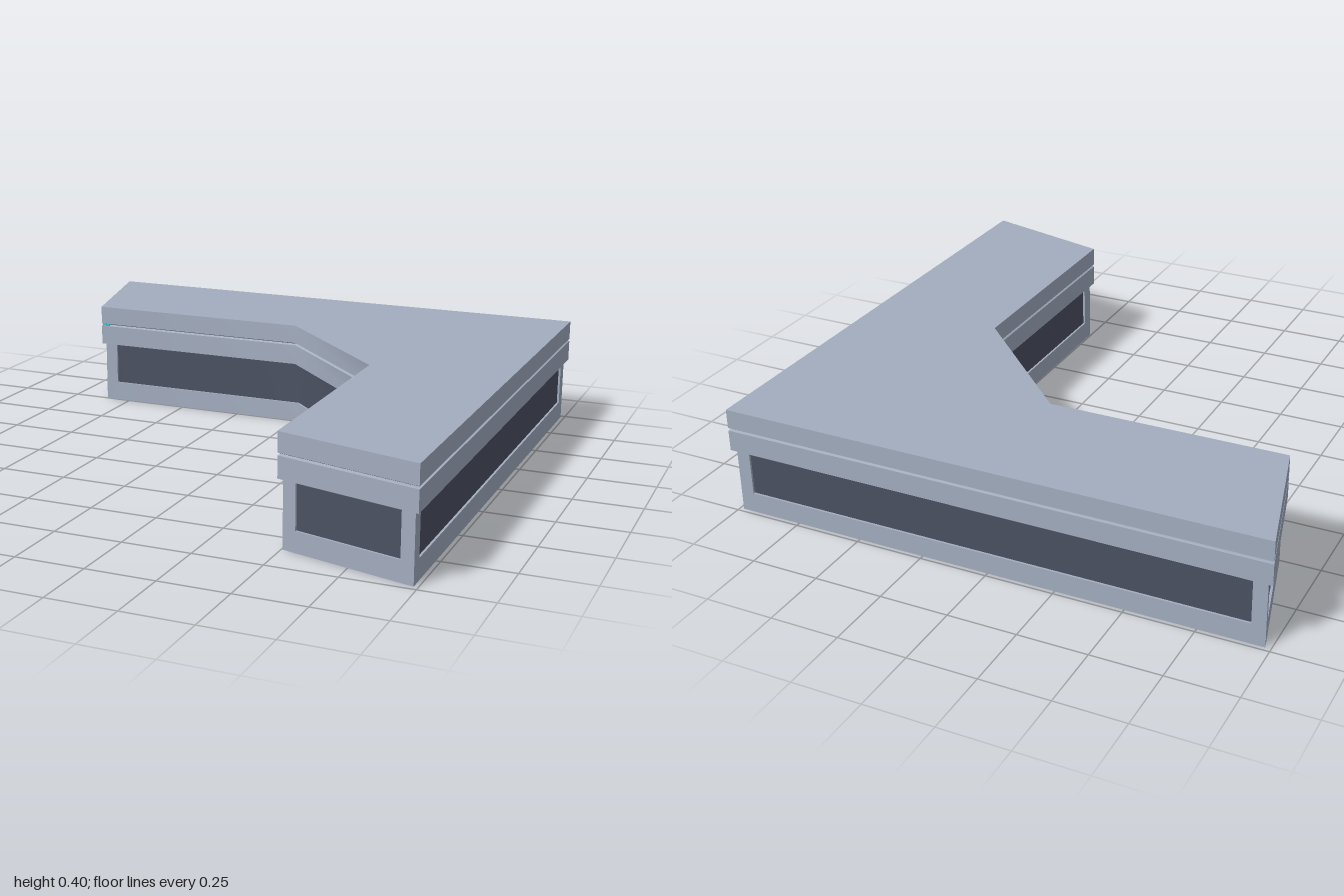
import * as THREE from 'three';
import { toCreasedNormals } from 'three/addons/utils/BufferGeometryUtils.js';

// Roof outline as [x, z], clockwise seen from above
const OUTLINE = [[-1, -1], [1, -1], [1, 1], [0.49, 0.865], [0.485, -0.02], [0.01, -0.488], [-0.865, -0.485]];
const N = OUTLINE.length;
const SILL = 0.075, EAVE = 0.242, TOP = 0.4;
const WALL_OUT = 0.015, WALL_IN = 0.03, POST = 0.05;

// Unit direction of the edge that starts at corner i
function direction(i) {
  const [ax, az] = OUTLINE[(i + N) % N], [bx, bz] = OUTLINE[(i + 1 + N) % N];
  const l = Math.hypot(bx - ax, bz - az);
  return [(bx - ax) / l, (bz - az) / l];
}

// Corner i moved inwards by d, mitred
function corner(i, d) {
  const p = direction(i - 1), q = direction(i);
  const k = d / (1 + p[0] * q[0] + p[1] * q[1]);
  const [x, z] = OUTLINE[i % N];
  return [x - (p[1] + q[1]) * k, z + (p[0] + q[0]) * k];
}

// Sweep a profile of [inset, y] round the outline
function sweep(profile) {
  const pos = [];
  const at = (i, [inset, y]) => {
    const [x, z] = corner(i % N, inset);
    return [x, y, z];
  };
  for (let i = 0; i < N; i++) {
    for (let k = 0; k < profile.length - 1; k++) {
      const a = at(i, profile[k]), b = at(i + 1, profile[k]);
      const c = at(i + 1, profile[k + 1]), d = at(i, profile[k + 1]);
      pos.push(...a, ...d, ...c, ...a, ...c, ...b);
    }
  }
  const g = new THREE.BufferGeometry();
  g.setAttribute('position', new THREE.Float32BufferAttribute(pos, 3));
  return toCreasedNormals(g, 0.9);
}

const planShape = (pts) => new THREE.Shape(pts.map(([x, z]) => new THREE.Vector2(x, -z)));

// Folded corner post that follows both walls meeting at corner i
function postGeometry(i) {
  const p = direction(i - 1), q = direction(i), t = WALL_IN - WALL_OUT;
  const o = corner(i, WALL_OUT);
  const a = [o[0] - p[0] * POST, o[1] - p[1] * POST];
  const b = [o[0] + q[0] * POST, o[1] + q[1] * POST];
  const shape = planShape([a, o, b, [b[0] - q[1] * t, b[1] + q[0] * t],
    corner(i, WALL_IN), [a[0] - p[1] * t, a[1] + p[0] * t]]);
  const g = new THREE.ExtrudeGeometry(shape, { depth: EAVE - SILL, bevelEnabled: false });
  return g.rotateX(-Math.PI / 2).translate(0, SILL, 0);
}

export function createModel() {
  const group = new THREE.Group();
  const material = (name, color) => {
    const m = new THREE.MeshStandardMaterial({ color, side: THREE.DoubleSide });
    m.name = name;
    return m;
  };
  const panel = material('paleBlueGreyPanel', 0xa3adbf);
  const glass = material('darkGlass', 0x4b5162);
  const cyan = material('cyanLight', 0x35c4cf);
  const add = (name, geometry, mat) => {
    const mesh = new THREE.Mesh(geometry, mat);
    mesh.name = name;
    group.add(mesh);
    return mesh;
  };

  // Roof slab, also the ceiling of the open-bottomed inside
  const roof = new THREE.ShapeGeometry(planShape(OUTLINE));
  add('roof', roof.rotateX(-Math.PI / 2).translate(0, TOP, 0), panel);

  // Overhanging fascia with a fine groove
  add('fascia', sweep([[WALL_IN, TOP], [WALL_IN, EAVE], [0, EAVE], [0, 0.319],
    [0.01, 0.324], [0, 0.329], [0, TOP]]), panel);

  // Low wall below the windows
  add('baseWall', sweep([[WALL_IN, SILL], [WALL_IN, 0], [WALL_OUT, 0],
    [WALL_OUT, SILL], [WALL_IN, SILL]]), panel);

  // Continuous glazing, recessed in the wall
  add('windowBand', sweep([[0.023, SILL - 0.005], [0.023, EAVE]]), glass);

  // Posts at the sharp corners only; glass runs on round the inner bend
  for (const i of [0, 1, 2, 3, 6]) add('cornerPost', postGeometry(i), panel);

  // Small light in the fascia groove
  const light = add('grooveLight', new THREE.BoxGeometry(0.03, 0.008, 0.008), cyan);
  light.position.set(-0.845, 0.324, -0.489);

  return group;
}
